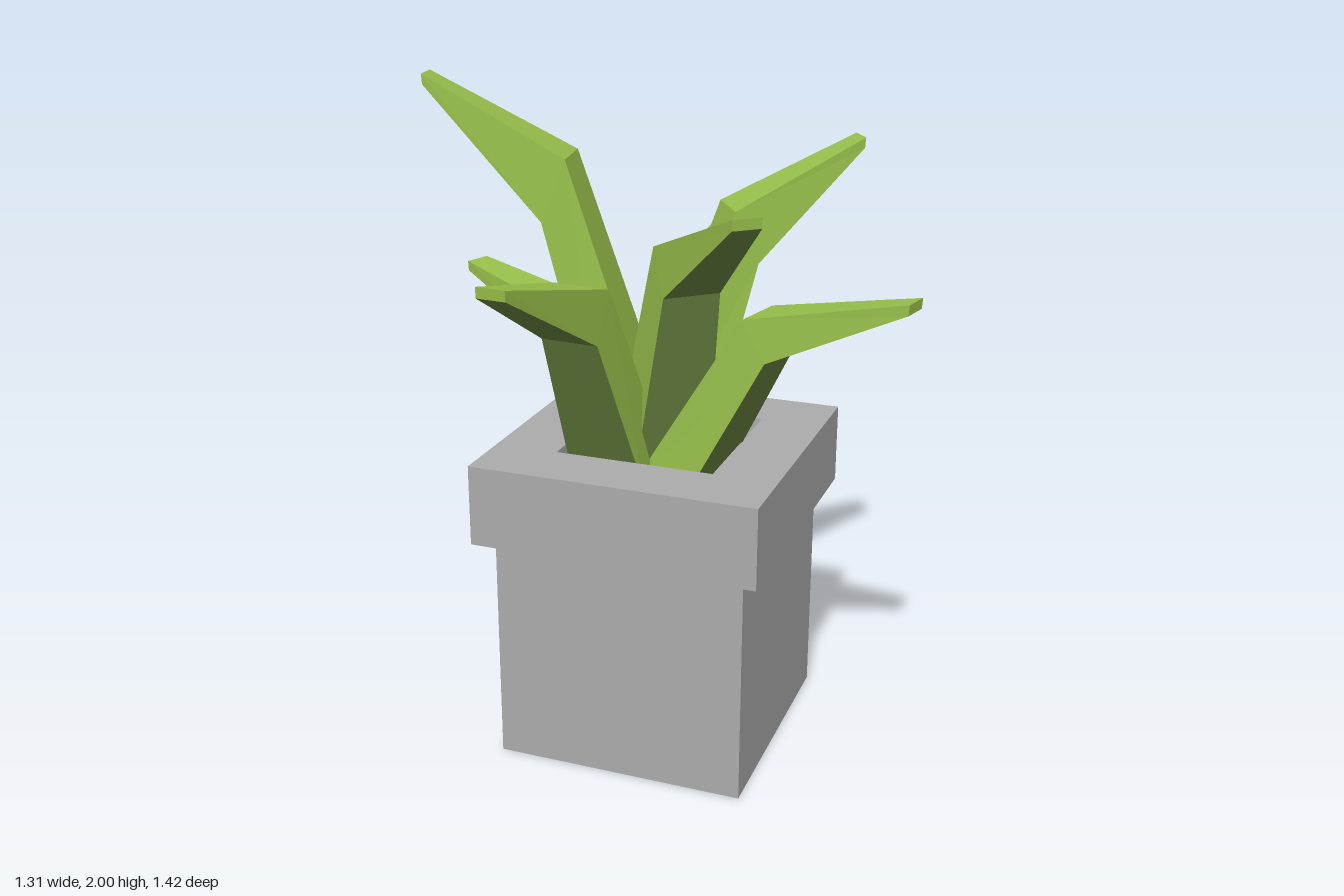
import * as THREE from 'three';

const CX = 0.046; // pot centre in x

// Lofts a four-sided leaf through base, elbow and tip sections.
// Material group 0 is the leaf, group 1 its darker underside.
function leafGeometry({ elbow, tip, elbowY, underY, tipY, reach, base }) {
  const up = new THREE.Vector3(0, 1, 0);
  const elbowPos = new THREE.Vector3(elbow[0], 0, elbow[1]);
  const along = new THREE.Vector3(tip[0], 0, tip[1]).sub(elbowPos);
  const dir = along.clone().normalize();
  const side = up.clone().cross(dir);
  const root = elbowPos.clone().addScaledVector(dir, -reach);
  const tipR = reach + along.length();

  // [inner radius, inner y, outer radius, outer y, half width]
  const sections = [
    [base, 0.85, base + 0.18, 0.85, 0.117],
    [reach, elbowY, reach + 0.072, underY, 0.085],
    [tipR, tipY, tipR - 0.002, tipY - 0.03, 0.042],
  ];
  const rings = sections.map(([ri, yi, ro, yo, w]) =>
    [[ri, yi, -w], [ro, yo, -w], [ro, yo, w], [ri, yi, w]].map(([r, y, s]) =>
      root.clone().addScaledVector(dir, r).addScaledVector(side, s).setY(y)));

  const geo = new THREE.BufferGeometry();
  const pos = [];
  const quad = (material, a, b, c, d) => {
    geo.addGroup(pos.length / 3, 6, material);
    [a, b, c, a, c, d].forEach((p) => pos.push(p.x, p.y, p.z));
  };
  for (let k = 0; k < rings.length - 1; k++) {
    for (let i = 0; i < 4; i++) {
      const j = (i + 1) % 4;
      quad(i === 1 ? 1 : 0, rings[k][i], rings[k][j], rings[k + 1][j], rings[k + 1][i]);
    }
  }
  quad(0, ...rings[2]);
  quad(0, ...[...rings[0]].reverse());

  geo.setAttribute('position', new THREE.Float32BufferAttribute(pos, 3));
  geo.computeVertexNormals();
  return geo;
}

// Diamond outline, corners on the axes
function diamond(Type, r) {
  return new Type([[r, 0], [0, r], [-r, 0], [0, -r]].map(([x, y]) => new THREE.Vector2(x, y)));
}

function flatMaterial(name, color) {
  const material = new THREE.MeshStandardMaterial({ color, flatShading: true });
  material.name = name;
  return material;
}

export function createModel() {
  const model = new THREE.Group();
  model.name = 'pottedPlant';

  const potGrey = flatMaterial('potGrey', 0xababab);
  const leafGreen = flatMaterial('leafGreen', 0x98c04b);
  const darkGreen = flatMaterial('darkGreen', 0x6a8541);

  const add = (name, geo, mat, parent) => {
    const mesh = new THREE.Mesh(geo, mat);
    mesh.name = name;
    parent.add(mesh);
    return mesh;
  };

  // Pot body, a square turned by 45 degrees
  const pot = new THREE.Group();
  pot.name = 'pot';
  pot.position.x = CX;
  model.add(pot);
  const body = add('potBody', new THREE.BoxGeometry(0.754, 0.705, 0.754), potGrey, pot);
  body.position.y = 0.3525;
  body.rotation.y = Math.PI / 4;

  // Rim with a square opening
  const rimShape = diamond(THREE.Shape, 0.608);
  rimShape.holes.push(diamond(THREE.Path, 0.337));
  const rimGeo = new THREE.ExtrudeGeometry(rimShape, { depth: 0.243, bevelEnabled: false });
  rimGeo.rotateX(-Math.PI / 2);
  add('potRim', rimGeo, potGrey, pot).position.y = 0.702;

  // Soil just below the rim
  const soil = add('soil', new THREE.BoxGeometry(0.476, 0.15, 0.476), darkGreen, pot);
  soil.position.y = 0.785;
  soil.rotation.y = Math.PI / 4;

  // Leaves: elbow and tip positions are [x, z]
  const leaves = new THREE.Group();
  leaves.name = 'leaves';
  model.add(leaves);
  [
    { name: 'tallLeaf', elbow: [-0.175, -0.14], tip: [-0.52, -0.375], elbowY: 1.78, underY: 1.6, tipY: 2.0, reach: 0.26, base: -0.05 },
    { name: 'leftLeaf', elbow: [0.255, -0.005], tip: [0.642, 0.08], elbowY: 1.62, underY: 1.465, tipY: 1.81, reach: 0.21, base: -0.07 },
    { name: 'frontLeaf', elbow: [0.025, 0.17], tip: [0.005, 0.588], elbowY: 1.57, underY: 1.44, tipY: 1.73, reach: 0.17, base: -0.08 },
    { name: 'frontRightLeaf', elbow: [-0.27, 0.155], tip: [-0.63, 0.46], elbowY: 1.48, underY: 1.34, tipY: 1.59, reach: 0.35, base: 0.02 },
    { name: 'frontLeftLeaf', elbow: [0.2, 0.292], tip: [0.452, 0.688], elbowY: 1.385, underY: 1.27, tipY: 1.49, reach: 0.33, base: 0 },
    { name: 'backLeftLeaf', elbow: [0.285, -0.238], tip: [0.614, -0.57], elbowY: 1.385, underY: 1.27, tipY: 1.49, reach: 0.33, base: 0 },
    { name: 'backRightLeaf', elbow: [-0.08, -0.27], tip: [-0.285, -0.692], elbowY: 1.275, underY: 1.18, tipY: 1.36, reach: 0.3, base: 0 },
  ].forEach((leaf) => add(leaf.name, leafGeometry(leaf), [leafGreen, darkGreen], leaves));

  return model;
}
